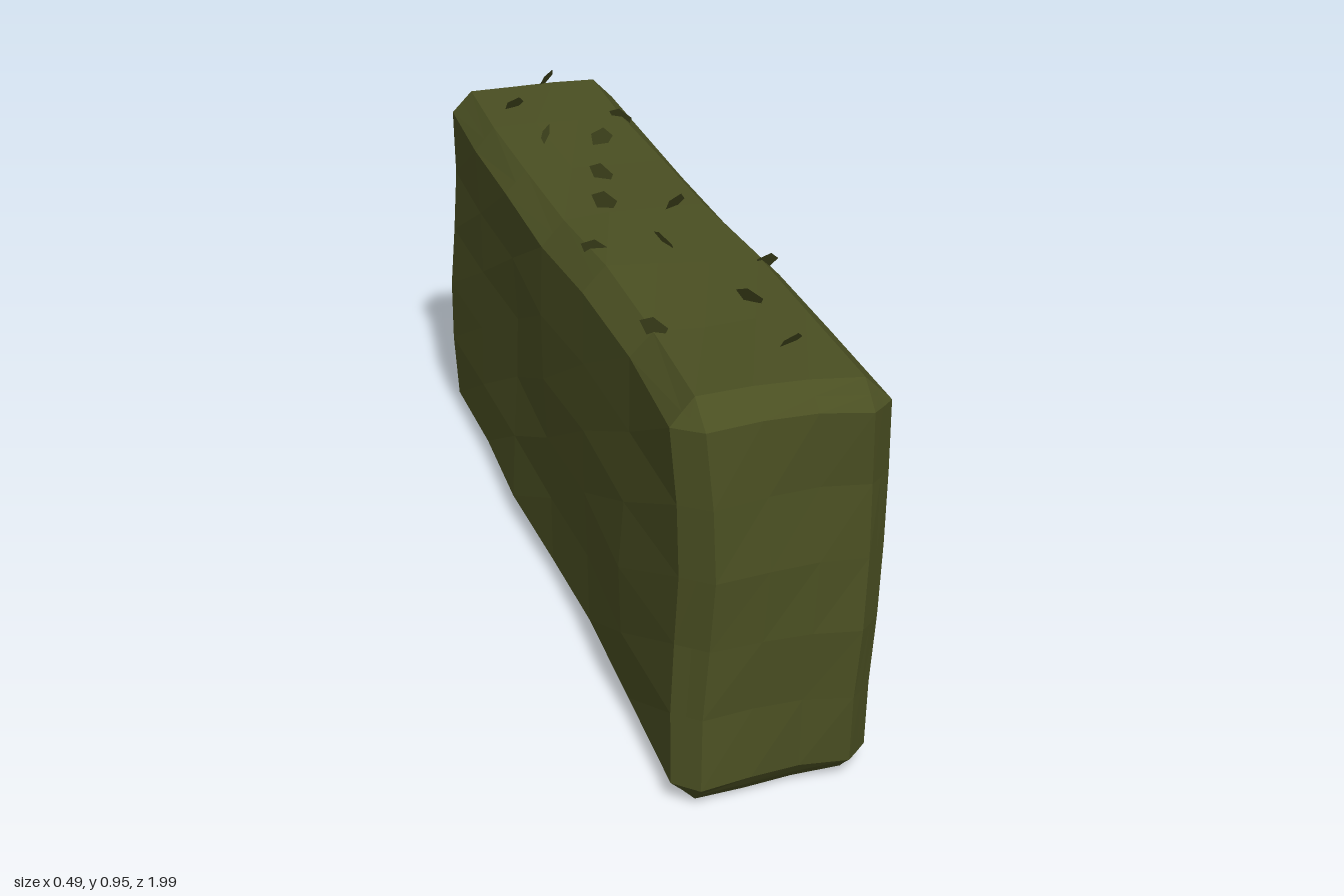
import * as THREE from 'three';

const leafGreen = new THREE.MeshStandardMaterial({ color: 0x4a4f22 });
leafGreen.name = 'olive leaf green';
leafGreen.side = THREE.DoubleSide;

const HALF = [0.215, 0.45, 0.985];
const CENTRE = [-0.018, 0.458, 0];
const SEGMENTS = [5, 7, 8];
const BEVEL = 0.052;

// Duplicate corners per face so every facet is flat
function faceted(geometry) {
  const flat = geometry.toNonIndexed();
  flat.computeVertexNormals();
  return flat;
}

// Gridded box whose outer ring is folded into a bevel, then gently rippled
function hedgeGeometry() {
  const geometry = new THREE.BoxGeometry(1, 1, 1, ...SEGMENTS);
  const pos = geometry.attributes.position;
  for (let v = 0; v < pos.count; v++) {
    const step = SEGMENTS.map((n, a) => Math.round((pos.getComponent(v, a) + 0.5) * n));
    const outer = step.filter((i, a) => i === 0 || i === SEGMENTS[a]).length;
    const inset = [0, 0, BEVEL / 2, BEVEL * 2 / 3][outer];
    const p = step.map((i, a) => {
      const n = SEGMENTS[a];
      if (i === 0) return -HALF[a] + inset;
      if (i === n) return HALF[a] - inset;
      return (HALF[a] - BEVEL) * (2 * (i - 1) / (n - 2) - 1);
    });
    const [x, y, z] = p;
    const dx = 0.008 * Math.sin(7 * y + 4.1 * z + 3) + 0.006 * Math.sin(9 * z - 5 * y + 6 * x);
    const dy = 0.007 * Math.sin(8 * z + 9 * x) + 0.005 * Math.sin(13 * z - 12 * x + 1);
    const dz = 0.009 * Math.sin(10 * y + 7 * x + 1.4) + 0.004 * Math.sin(17 * x + 3 * z);
    const lift = y < -0.4 ? 0.4 : 1; // calmer where it meets the ground
    pos.setXYZ(v, CENTRE[0] + x + dx, CENTRE[1] + y + dy * lift, CENTRE[2] + z + dz);
  }
  return faceted(geometry);
}

// Small five-sided leaf rooted at its lower edge
function leafGeometry() {
  const outline = [[-0.014, -0.012], [0.016, -0.012], [0.032, 0.022], [0.004, 0.05], [-0.026, 0.036]];
  return new THREE.ShapeGeometry(new THREE.Shape(outline.map(([x, y]) => new THREE.Vector2(x, y))));
}

export function createModel() {
  const model = new THREE.Group();
  model.name = 'hedge';

  const body = new THREE.Mesh(hedgeGeometry(), leafGreen);
  body.name = 'hedgeBody';
  model.add(body);

  // Loose leaves: x, y, z, heading, lean
  const leaves = [
    [0.02, 0.905, -0.94, 0.8, 0.6], [-0.11, 0.905, -0.77, 0.4, 0.7],
    [0.14, 0.89, -0.63, -0.7, 0.5], [-0.1, 0.905, -0.5, 1.5, 0.4],
    [0.03, 0.905, -0.45, 0.1, 0.3], [-0.03, 0.9, -0.23, -0.7, 0.3],
    [-0.08, 0.91, -0.04, -0.5, 0.4], [0.06, 0.91, 0.01, 0.5, 0.6],
    [-0.01, 0.905, 0.21, -1.3, 0.6], [-0.17, 0.895, 0.18, -0.3, 0.5],
    [0.165, 0.88, 0.32, 0.2, 0.6], [0.06, 0.905, 0.54, -0.8, 0.6],
    [0.05, 0.905, 0.76, 0.4, 0.7], [-0.17, 0.895, 0.61, -0.6, 0.4],
  ];
  const leafShape = leafGeometry();
  const foliage = new THREE.Group();
  foliage.name = 'looseLeaves';
  for (const [x, y, z, heading, lean] of leaves) {
    const leaf = new THREE.Mesh(leafShape, leafGreen);
    leaf.name = 'leaf';
    leaf.position.set(x, y, z);
    leaf.rotation.set(lean, heading, 0, 'YXZ');
    foliage.add(leaf);
  }
  // One leaf sticks out of the left side
  const sideLeaf = new THREE.Mesh(leafShape, leafGreen);
  sideLeaf.name = 'sideLeaf';
  sideLeaf.position.set(0.192, 0.65, 0.25);
  sideLeaf.rotation.set(Math.PI / 2 - 0.45, 0, -Math.PI / 2 - 0.15);
  foliage.add(sideLeaf);
  model.add(foliage);
  return model;
}
